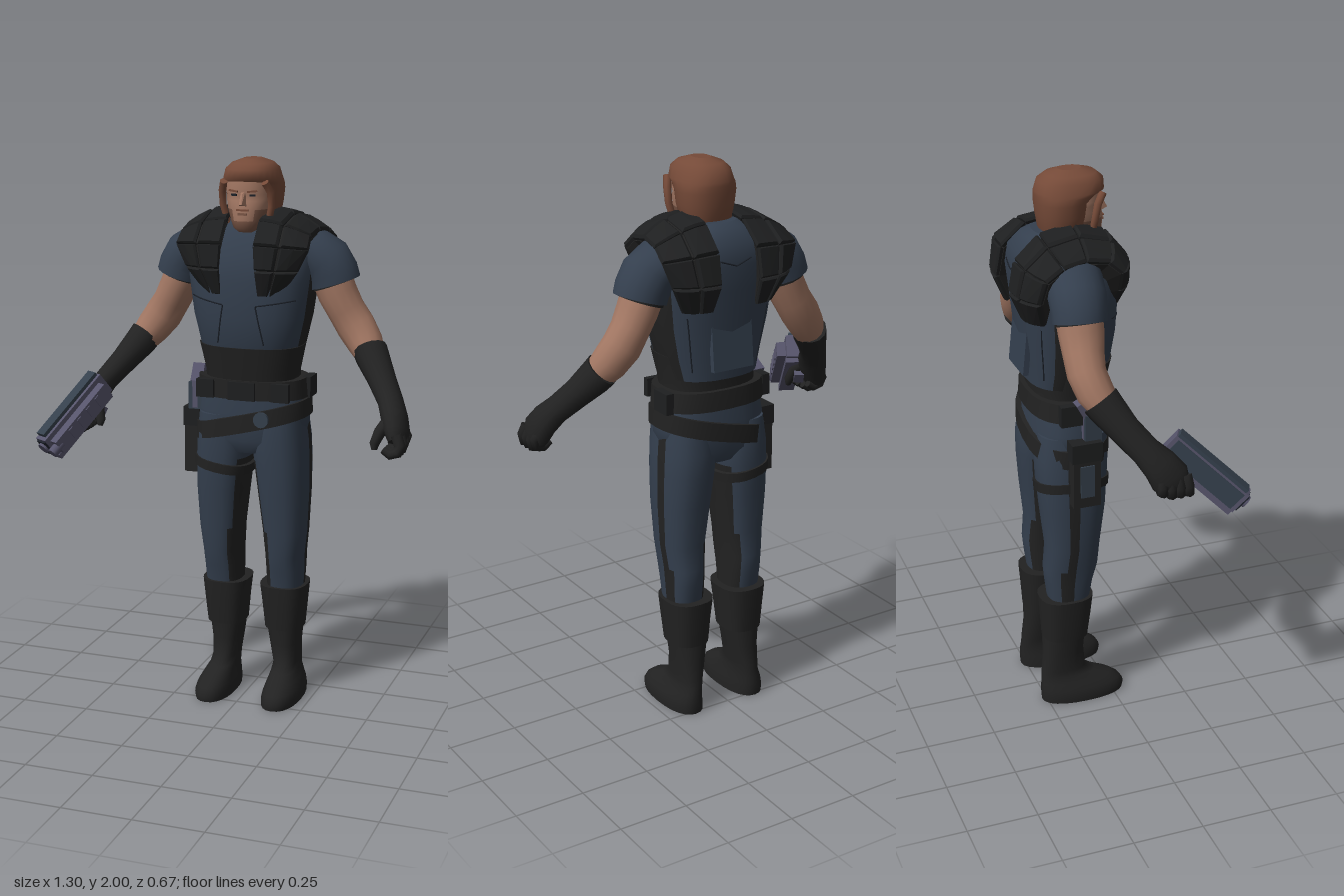
import * as THREE from 'three';
import { ConvexGeometry } from 'three/addons/geometries/ConvexGeometry.js';

const mat = (name, color) => {
  const m = new THREE.MeshStandardMaterial({ color });
  m.name = name;
  return m;
};
const V = (x, y, z) => new THREE.Vector3(x, y, z);

export function createModel() {
  const blue = mat('slate blue cloth', 0x343f4e), black = mat('black leather', 0x222222);
  const pad = mat('dark padding', 0x1e1f20), skin = mat('skin', 0xa27763), hair = mat('auburn hair', 0x754a38);
  const beard = mat('beard', 0x7a5646), dark = mat('dark seam', 0x1b2028);
  const metal = mat('violet gunmetal', 0x56546b), steel = mat('blue gunmetal', 0x35404c);

  const root = new THREE.Group(), body = new THREE.Group();
  body.name = 'body';
  body.position.x = 0.02;
  root.add(body);
  const add = (name, geo, material, parent = body) => {
    const m = new THREE.Mesh(geo, material);
    m.name = name;
    parent.add(m);
    return m;
  };

  // Skins closed rings of points; pick(ring, angle) chooses the material slot.
  const SEG = 24;
  function skinRings(rings, pick = () => 0) {
    const n = rings[0].length, pos = [], idx = [[], []];
    rings.forEach(r => r.forEach(p => pos.push(p.x, p.y, p.z)));
    for (let i = 0; i < rings.length - 1; i++) for (let j = 0; j < n; j++) {
      const a = i * n + j, b = i * n + (j + 1) % n;
      idx[pick(i, (j + 0.5) / n * Math.PI * 2)].push(a, b, b + n, a, b + n, a + n);
    }
    [[rings[0], true], [rings.at(-1), false]].forEach(([r, flip]) => {
      const base = pos.length / 3, c = V(0, 0, 0);
      r.forEach(p => { pos.push(p.x, p.y, p.z); c.addScaledVector(p, 1 / n); });
      pos.push(c.x, c.y, c.z);
      for (let j = 0; j < n; j++) {
        const a = base + j, b = base + (j + 1) % n;
        idx[0].push(base + n, flip ? b : a, flip ? a : b);
      }
    });
    const g = new THREE.BufferGeometry();
    g.setAttribute('position', new THREE.Float32BufferAttribute(pos, 3));
    g.setIndex([...idx[0], ...idx[1]]);
    g.addGroup(0, idx[0].length, 0);
    g.addGroup(idx[0].length, idx[1].length, 1);
    g.computeVertexNormals();
    return g;
  }
  // Level rings [y, x0, x1, z0, z1], rounded-square power n, optional sideways tilt.
  function stack(rows, n = 2.4, pick, tilt = 0) {
    const f = v => Math.sign(v) * Math.abs(v) ** (2 / n);
    return skinRings(rows.map(([y, x0, x1, z0, z1]) => Array.from({ length: SEG }, (_, j) => {
      const t = j / SEG * Math.PI * 2, dx = (x1 - x0) / 2 * f(Math.cos(t));
      return V((x0 + x1) / 2 + dx, y + tilt * dx, (z0 + z1) / 2 - (z1 - z0) / 2 * f(Math.sin(t)));
    })), pick);
  }
  const sym = rows => rows.map(([y, r, z0, z1]) => [y, -r, r, z0, z1]);
  const sided = (rows, s) => rows.map(([y, a, b, z0, z1]) => s > 0 ? [y, a, b, z0, z1] : [y, -b, -a, z0, z1]);
  // Limb along points [x, y, z, width, depth]
  function limb(pts, n = 14) {
    const c = pts.map(p => V(p[0], p[1], p[2]));
    return skinRings(c.map((p, i) => {
      const t = c[Math.min(i + 1, c.length - 1)].clone().sub(c[Math.max(i - 1, 0)]).normalize();
      const a = V(0, 0, 1).cross(t).normalize(), b = t.clone().cross(a);
      return Array.from({ length: n }, (_, j) => {
        const q = j / n * Math.PI * 2;
        return p.clone().addScaledVector(a, Math.cos(q) * pts[i][3]).addScaledVector(b, Math.sin(q) * (pts[i][4] ?? pts[i][3]));
      });
    }));
  }
  const box = (name, m, w, h, d, x, y, z, parent) => {
    const b = add(name, new THREE.BoxGeometry(w, h, d), m, parent);
    b.position.set(x, y, z);
    return b;
  };

  // Torso with dark panels under the arms; the armour reaches lower at the back
  const chest = [[1.265, .165, -.272, -.02], [1.34, .186, -.279, .021], [1.45, .212, -.291, .036], [1.58, .23, -.304, .042], [1.67, .235, -.314, .026],
    [1.74, .2, -.305, -.012], [1.785, .12, -.265, -.036], [1.8, .085, -.235, -.055]];
  add('chestArmour', stack(sym(chest), 2.5, (i, a) => i < 4 && Math.cos(a) ** 2 > .85 && Math.sin(a) > -.15 ? 1 : 0), [blue, black]);
  add('waistBand', stack(sym([[1.2, .168, -.255, -.005], [1.25, .17, -.256, .006], [1.345, .19, -.265, .026]]), 2.5), black);
  add('hips', stack(sym([[.95, .12, -.24, -.04], [1, .2, -.27, -.012], [1.1, .203, -.268, -.006], [1.22, .178, -.255, -.008]]), 2.5), blue);
  const surfaceZ = (x, y, front) => {
    const i = Math.max(0, chest.findIndex((r, k) => k < chest.length - 1 && chest[k + 1][0] >= y));
    const k = (y - chest[i][0]) / (chest[i + 1][0] - chest[i][0]);
    const [, r, z0, z1] = chest[i].map((v, q) => v + (chest[i + 1][q] - v) * k);
    const h = (z1 - z0) / 2 * (1 - Math.min(1, Math.abs(x) / r) ** 2.5) ** (1 / 2.5);
    return (z0 + z1) / 2 + (front ? h : -h);
  };
  const seam = ([x0, y0], [x1, y1], front) => {
    const pts = Array.from({ length: 9 }, (_, i) => {
      const x = x0 + (x1 - x0) * i / 8, y = y0 + (y1 - y0) * i / 8;
      return V(x, y, surfaceZ(x, y, front));
    });
    add('armourSeam', new THREE.TubeGeometry(new THREE.CatmullRomCurve3(pts), 16, .0026, 5), dark);
  };
  for (const s of [-1, 1]) {
    seam([s * .085, 1.36], [s * .06, 1.5], true);
    seam([s * .06, 1.5], [s * .19, 1.52], true);
    seam([0, 1.67], [s * .06, 1.69], false);
    seam([s * .13, 1.3], [s * .16, 1.5], false);
  }
  box('backPlate', blue, .16, .19, .02, 0, 1.4, -.283).rotation.x = .1;

  // Padded harness: two columns of blocks curving over each shoulder
  const arc = [[1.53, .035, .065, .14, 0], [1.63, .07, .06, .21, .005], [1.72, .065, .053, .25, .015], [1.8, 0, .053, .245, .055],
    [1.835, -.12, .06, .25, .075], [1.812, -.24, .065, .262, .065], [1.73, -.33, .07, .272, .02], [1.62, -.35, .073, .24, 0], [1.515, -.305, .085, .18, 0]];
  const padPoint = (s, u, v, depth) => {
    const i = Math.min(arc.length - 2, Math.floor(v)), k = v - i;
    const [y, z, a, b, drop] = arc[i].map((q, c) => q + (arc[i + 1][c] - q) * k);
    const p = V(s * (a + (b - a) * u), y - drop * u * u, -.14 + (z + .14) * (1 - .28 * u ** 3));
    return p.lerp(V(s * .14, 1.6, -.14), depth);
  };
  const padBlock = (s, u0, u1, v0, v1, top, low) => {
    const pts = [], du = (u1 - u0) * .09, dv = .06;
    for (const [d, g] of [[low, 0], [top + .04, 0], [top, 1]])
      for (const u of [u0 + du * g, (u0 + u1) / 2, u1 - du * g]) for (const v of [v0 + dv * g, v1 - dv * g]) pts.push(padPoint(s, u, v, d));
    return new ConvexGeometry(pts);
  };
  for (const s of [-1, 1]) for (let i = 0; i < arc.length - 1; i++) {
    add('harnessBacking', padBlock(s, 0, 1, i, i + 1, .06, .4), black);
    for (const [u0, u1] of [[.01, .48], [.52, .99]]) add('shoulderPad', padBlock(s, u0, u1, i + .02, i + .98, 0, .25), pad);
  }

  // Arms, gloves and curled hands
  for (const s of [-1, 1]) {
    const m = pts => pts.map(([x, ...r]) => [x * s, ...r]);
    add('sleeve', limb(m([[.14, 1.69, -.155, .07, .1], [.2, 1.68, -.16, .085, .1], [.255, 1.64, -.165, .094, .098], [.278, 1.6, -.167, .093, .095], [.288, 1.567, -.168, .092, .093]]), 18), blue);
    add('sleeveLining', limb(m([[.285, 1.575, -.168, .083, .086], [.29, 1.561, -.168, .083, .086]])), black);
    add('arm', limb(m([[.27, 1.6, -.168, .072, .08], [.298, 1.53, -.168, .07, .078], [.33, 1.47, -.172, .067, .07], [.365, 1.415, -.174, .07, .066],
      [.405, 1.36, -.158, .064, .064], [.44, 1.31, -.13, .05, .052]])), skin);
    add('glove', limb(m([[.425, 1.34, -.148, .06, .066], [.44, 1.315, -.132, .059, .064], [.487, 1.25, -.085, .049, .054], [.535, 1.185, -.03, .043, .052],
      [.56, 1.14, .01, .044, .062], [.578, 1.095, .04, .041, .07], [.585, 1.065, .052, .03, .06]])), black);
    for (let f = 0; f < 4; f++) {
      const z = f * .031, d = f === 0 ? .012 : 0;
      add('finger', limb(m([[.588, 1.1, z, .021], [.603, 1.065 + d, z + .005, .02], [.596, 1.04 + d, z + .01, .019], [.57, 1.032 + d, z + .012, .018], [.545, 1.047 + d, z + .012, .013]]), 8), black);
    }
    add('thumb', limb(m([[.555, 1.145, .035, .024], [.525, 1.1, .07, .021], [.51, 1.06, .085, .017], [.512, 1.04, .09, .01]]), 8), black);
  }

  // Legs with dark outer stripe and inner panel, and tall boots
  const leg = [[1.09, .02, .195, -.26, -.012], [1, .004, .206, -.272, -.01], [.92, .01, .21, -.27, -.015], [.8, .025, .21, -.26, -.024], [.65, .042, .203, -.244, -.045],
    [.56, .05, .192, -.252, -.052], [.5, .05, .19, -.246, -.07], [.42, .052, .185, -.235, -.085]];
  const boot = [[0, .06, .198, -.268, .045], [.025, .06, .2, -.27, .05], [.05, .064, .194, -.27, .035], [.075, .07, .182, -.268, .0],
    [.1, .073, .17, -.266, -.06], [.125, .073, .168, -.264, -.098], [.2, .058, .17, -.256, -.104], [.3, .042, .18, -.256, -.094]];
  const cuff = [[.265, .042, .184, -.256, -.09], [.36, .033, .193, -.262, -.078], [.435, .024, .2, -.268, -.07]];
  for (const s of [-1, 1]) {
    add('trouserLeg', stack(sided(leg, s).reverse(), 2.4, (i, a) => {
      const c = Math.cos(a) * s, back = Math.sin(a) > 0;
      return (back && c > (i < 2 ? .85 : .98)) || (i < 5 && c < (i < 3 ? -.55 : -.75)) ? 1 : 0;
    }), [blue, black]);
    add('boot', stack(sided(boot, s), 2.3), black);
    add('bootCuff', stack(sided(cuff, s), 2.6), black);
  }

  // Belts, pouches and holster
  add('belt', stack(sym([[1.155, .205, -.275, .004], [1.225, .198, -.272, .006]]), 2.5), black);
  add('gunBelt', stack(sym([[1.035, .212, -.286, .012], [1.1, .21, -.284, .012]]), 2.5, undefined, .25), black);
  for (const [x, w, z] of [[-.14, .065, -.008], [0, .1, .003], [.14, .065, -.008]])
    box('beltPouch', pad, w, .066, .022, x, 1.188, z);
  for (const s of [-1, 1]) box('sidePouch', pad, .03, .075, .08, s * .198, 1.188, -.17);
  const buckle = add('roundBuckle', new THREE.CylinderGeometry(.028, .028, .012, 16), steel);
  buckle.rotation.x = Math.PI / 2;
  buckle.position.set(.075, 1.09, .012);
  box('holster', black, .055, .23, .1, -.222, .965, -.13);
  box('holsterFlap', pad, .062, .07, .11, -.222, 1.06, -.13);
  box('holsterInset', steel, .008, .12, .05, -.251, .95, -.13);
  box('sidearmSlide', steel, .05, .1, .06, -.205, 1.14, -.1);
  box('sidearmPlate', metal, .02, .1, .064, -.205, 1.145, -.1);
  box('sidearmGrip', metal, .045, .07, .05, -.205, 1.21, -.12).rotation.x = -.5;
  add('thighStrap', stack([[.875, -.216, -.005, -.275, -.01], [.91, -.216, 0, -.277, -.008]], 2.4, undefined, -.17), black);

  // Head
  const head = new THREE.Group();
  head.name = 'head';
  head.position.x = .005;
  body.add(head);
  const z0 = -.18;
  add('neck', stack(sym([[1.72, .075, -.2, -.05], [1.76, .066, -.18, -.045], [1.84, .064, -.17, -.04]]), 2), skin, head);
  add('face', stack(sym([[1.75, .034, -.08, -.01], [1.765, .052, -.12, .006], [1.79, .066, z0, .012], [1.83, .078, z0, .012],
    [1.86, .083, z0, .009], [1.88, .084, z0, .003], [1.895, .085, z0, .012], [1.95, .08, z0, .004]]), 2.2, (i, a) =>
    i < 2 || (i < 3 && Math.sin(a) > -.8) ? 1 : 0), [skin, beard], head);
  add('hair', stack(sym([[1.765, .068, -.195, -.09], [1.8, .088, -.209, -.055], [1.85, .098, -.217, -.04], [1.895, .103, -.222, -.035],
    [1.918, .103, -.222, -.012], [1.93, .1, -.222, .016], [1.965, .09, -.212, .014], [1.985, .07, -.185, -.01], [2, .03, -.14, -.06]]), 2.3), hair, head);
  for (const s of [-1, 1]) {
    add('sideLock', limb([[s * .075, 1.925, -.008, .014], [s * .088, 1.89, -.03, .014], [s * .089, 1.84, -.04, .013], [s * .078, 1.795, -.045, .012], [s * .068, 1.765, -.05, .008]], 8), hair, head);
    box('brow', hair, .034, .006, .008, s * .034, 1.894, .007, head).rotation.set(0, s * .2, s * .1);
    box('eye', dark, .02, .007, .006, s * .034, 1.88, .003, head).rotation.y = s * .2;
  }
  add('nose', new ConvexGeometry([V(-.008, 1.892, .004), V(.008, 1.892, .004), V(-.015, 1.842, .006), V(.015, 1.842, .006),
    V(-.005, 1.85, .034), V(.005, 1.85, .034), V(0, 1.885, .016)]), skin, head);
  box('moustache', hair, .044, .006, .008, 0, 1.829, .012, head);
  box('lips', beard, .032, .008, .008, 0, 1.815, .012, head);

  // Hand-held gun aimed down and forward
  const gun = new THREE.Group();
  gun.name = 'heldGun';
  gun.position.set(-.535, 1.09, .175);
  gun.lookAt(-.665, .87, .405);
  root.add(gun);
  box('gunBody', metal, .056, .085, .32, -.02, .008, 0, gun);
  box('gunTopRail', steel, .042, .02, .3, -.025, .054, -.005, gun);
  box('gunSideHousing', metal, .036, .056, .28, .024, .005, .005, gun);
  box('gunSidePlate', steel, .008, .07, .29, -.049, .008, 0, gun);
  box('gunLowerRail', metal, .058, .02, .3, -.018, -.042, .005, gun);
  box('gunMuzzlePlate', dark, .046, .066, .008, -.02, .01, .162, gun);
  for (const [x, y, r] of [[-.02, .016, .022], [.026, .005, .018]]) {
    const b = add('gunMuzzle', new THREE.CylinderGeometry(r, r, .05, 12), metal, gun);
    b.rotation.x = Math.PI / 2;
    b.position.set(x, y, .15);
  }
  for (let i = 0; i < 4; i++) box('gunRib', metal, .006, .04, .02, .043, .005, -.08 + i * .05, gun);
  box('gunGrip', metal, .036, .08, .045, -.04, -.06, -.08, gun).rotation.x = .3;
  return root;
}
